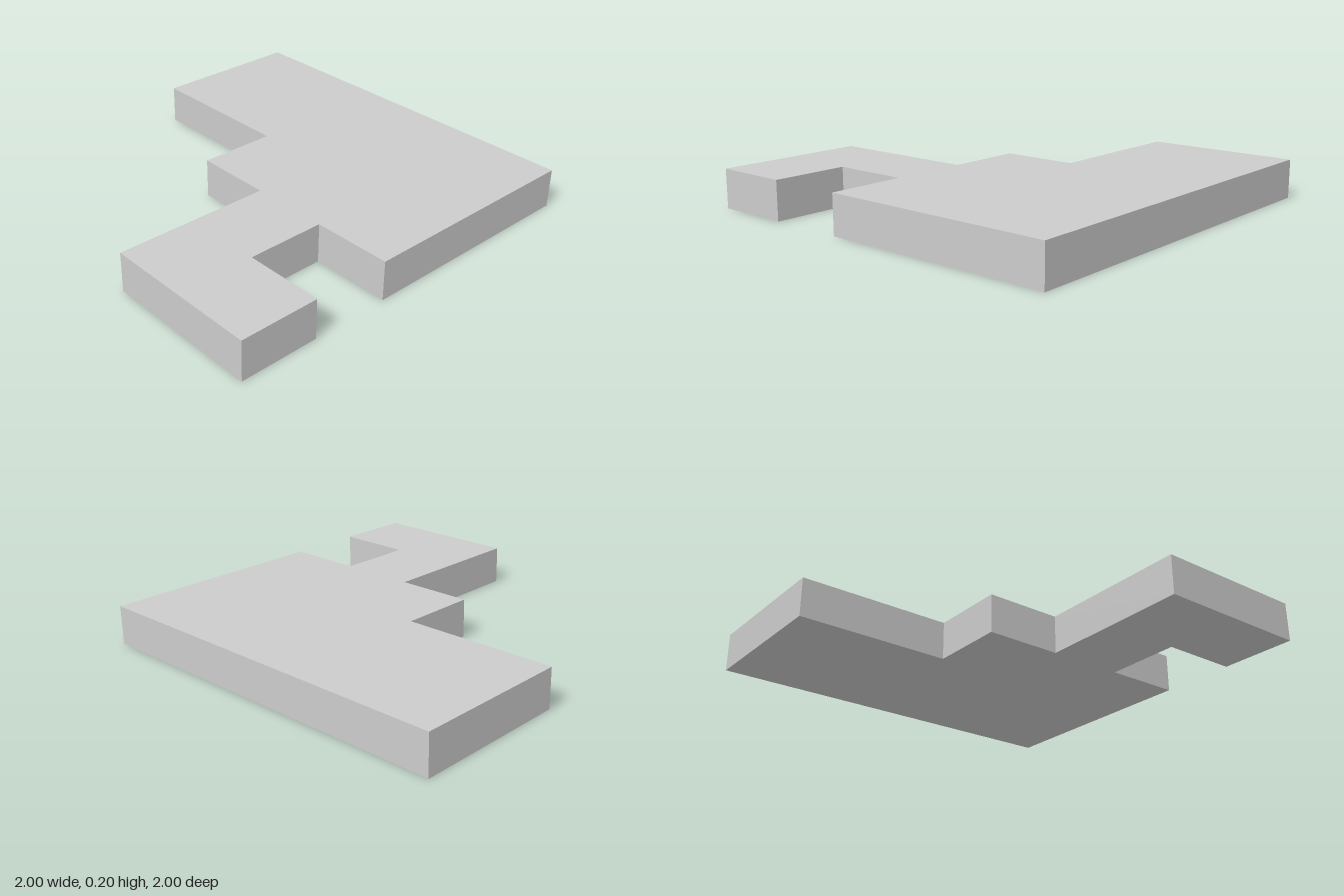
import * as THREE from 'three';

export function createModel() {
  const group = new THREE.Group();
  group.name = 'steppedSlab';

  // Plan outline as [x, z] corners, starting at the front left corner
  const outline = [
    [1, 1], [1, -1], [0.2, -1], [0.2, -0.2], [-0.2, -0.2], [-0.2, 0.2],
    [-1, 0.2], [-1, 1], [-0.6, 1], [-0.6, 0.6], [-0.2, 0.6], [-0.2, 1],
  ];
  const shape = new THREE.Shape(outline.map(([x, z]) => new THREE.Vector2(x, -z)));

  // Extrude the plan to the slab's thickness and lay it flat on the ground
  const geometry = new THREE.ExtrudeGeometry(shape, { depth: 0.2, bevelEnabled: false });
  geometry.rotateX(-Math.PI / 2);

  const slab = new THREE.Mesh(
    geometry,
    new THREE.MeshStandardMaterial({ color: 0xcccccc, flatShading: true })
  );
  slab.name = 'slab';
  group.add(slab);
  return group;
}
